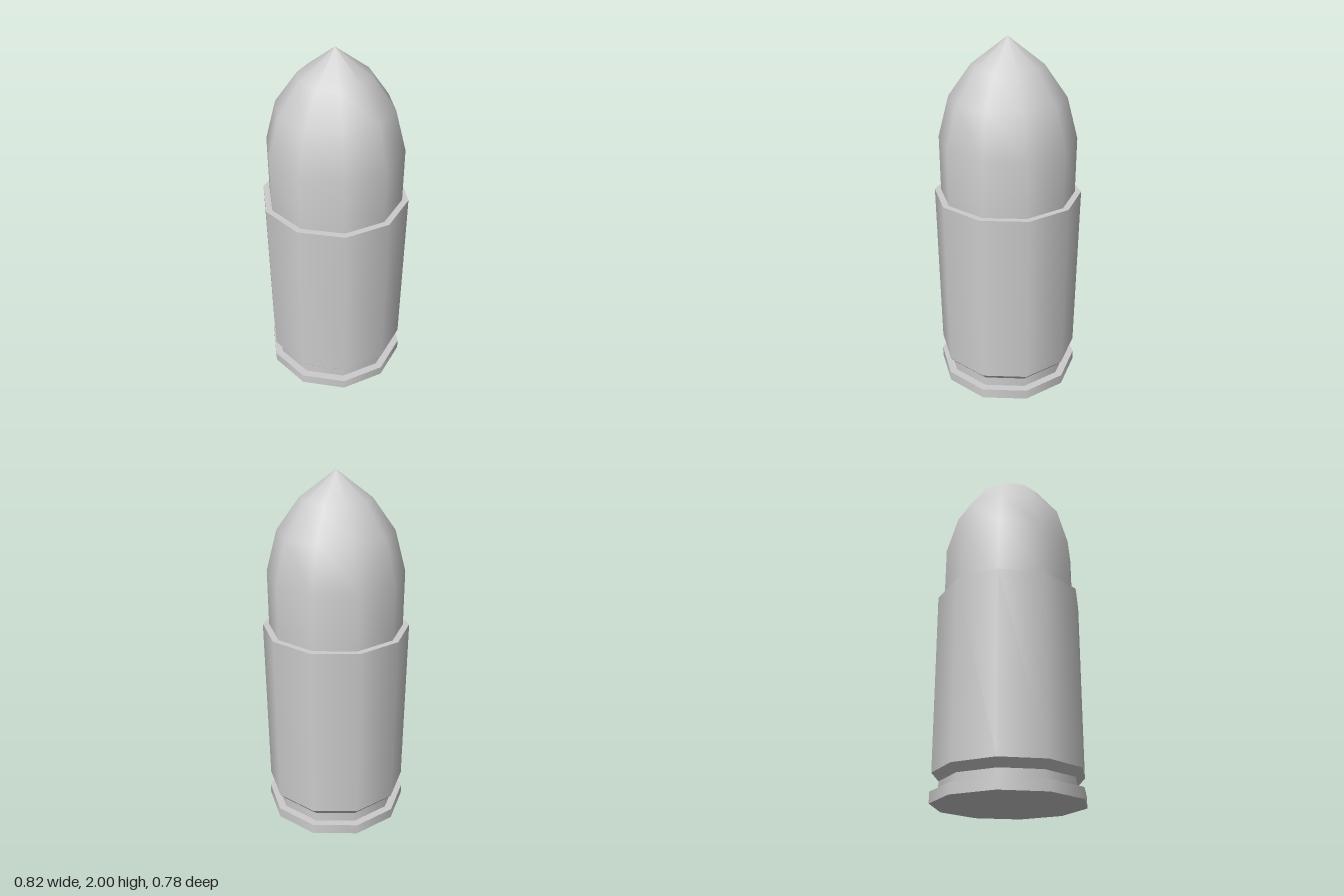
import * as THREE from 'three';

const SIDES = 10;
const material = new THREE.MeshStandardMaterial({ color: 0xcccccc });

// Each band is turned separately: smooth around and within, sharp where bands meet.
function turnedPart(name, bands) {
  const part = new THREE.Group();
  part.name = name;
  bands.forEach((profile, i) => {
    const points = profile.map(([r, y]) => new THREE.Vector2(r, y));
    // start at +x so that corners lie on the x axis
    const geometry = new THREE.LatheGeometry(points, SIDES, Math.PI / 2);
    const mesh = new THREE.Mesh(geometry, material);
    mesh.name = `${name}Band${i + 1}`;
    part.add(mesh);
  });
  return part;
}

export function createModel() {
  const model = new THREE.Group();
  model.name = 'cartridge';

  // Flat base and the thin rim around it
  model.add(turnedPart('rim', [
    [[0, 0], [0.407, 0]],
    [[0.407, 0], [0.407, 0.058]],
    [[0.407, 0.058], [0.363, 0.058]],
  ]));

  // Groove above the rim
  model.add(turnedPart('groove', [
    [[0.363, 0.058], [0.363, 0.112]],
  ]));

  // Case: chamfer, slightly flaring wall and flat mouth
  model.add(turnedPart('case', [
    [[0.363, 0.112], [0.401, 0.154]],
    [[0.401, 0.154], [0.408, 1.148]],
    [[0.408, 1.148], [0.373, 1.148]],
  ]));

  // Pointed bullet seated in the mouth
  model.add(turnedPart('bullet', [
    [[0.373, 1.148], [0.373, 1.46], [0.313, 1.685], [0.19, 1.857], [0, 2]],
  ]));

  return model;
}
